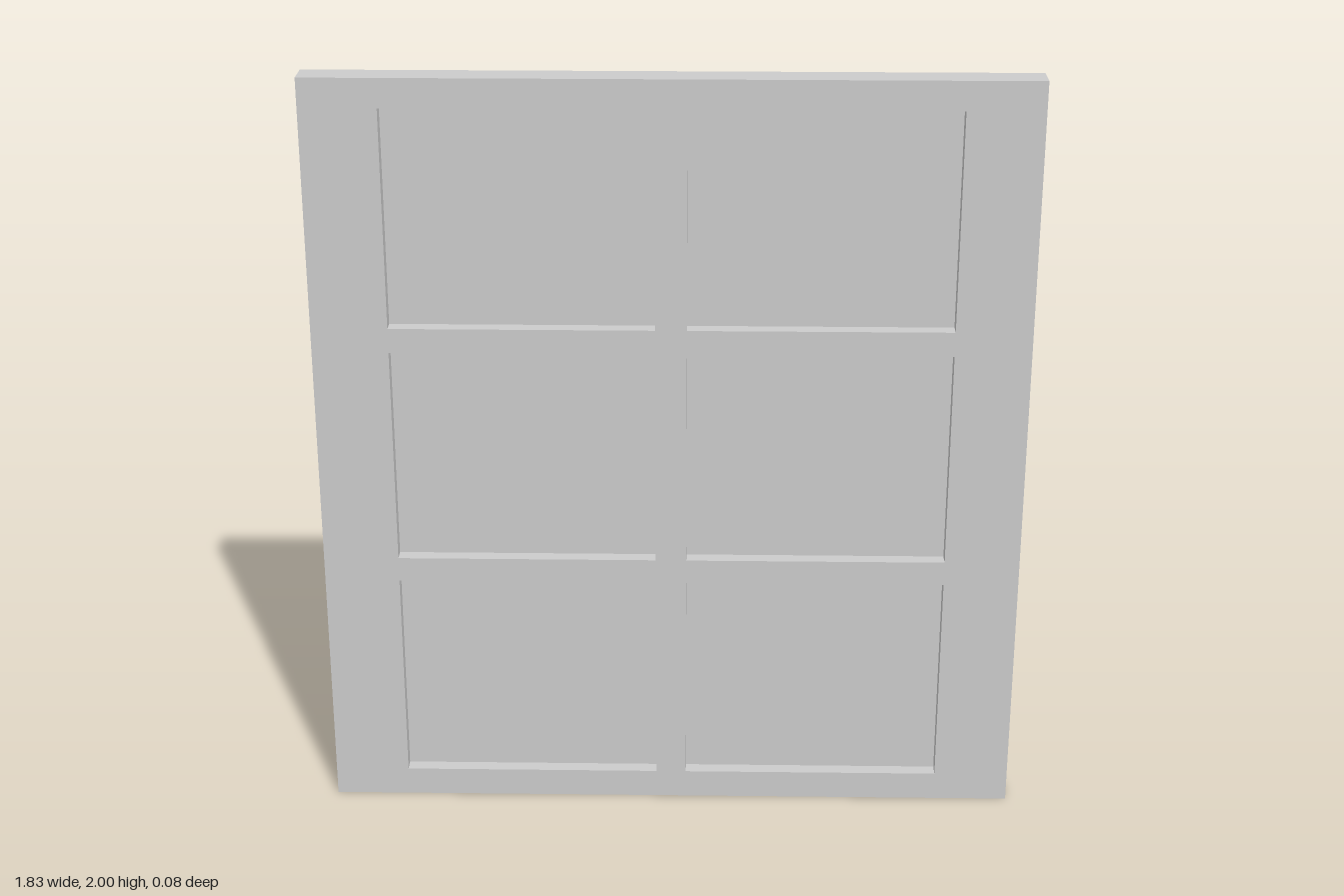
import * as THREE from 'three';

const W = 1.826, H = 2, DEPTH = 0.08;
const COLUMNS = [[-0.717, -0.04], [0.04, 0.717]];
const ROWS = [[0.076, 0.647], [0.712, 1.288], [1.353, 1.924]];

// Traces a rectangle on a shape or a hole path
function rect(path, x0, y0, x1, y1) {
  path.moveTo(x0, y0);
  path.lineTo(x1, y0);
  path.lineTo(x1, y1);
  path.lineTo(x0, y1);
  path.closePath();
  return path;
}

export function createModel() {
  const group = new THREE.Group();
  group.name = 'panelledWindow';
  const material = new THREE.MeshStandardMaterial({ color: 0xcccccc });

  // Frame with six openings, and a thin pane set mid-depth in each
  const outline = rect(new THREE.Shape(), -W / 2, 0, W / 2, H);
  const panes = new THREE.Group();
  panes.name = 'panes';
  for (const [y0, y1] of ROWS) {
    for (const [x0, x1] of COLUMNS) {
      outline.holes.push(rect(new THREE.Path(), x0, y0, x1, y1));
      const pane = new THREE.Mesh(new THREE.BoxGeometry(x1 - x0, y1 - y0, 0.004), material);
      pane.name = 'pane';
      pane.position.set((x0 + x1) / 2, (y0 + y1) / 2, 0);
      panes.add(pane);
    }
  }

  const frameGeometry = new THREE.ExtrudeGeometry(outline, { depth: DEPTH, bevelEnabled: false });
  frameGeometry.translate(0, 0, -DEPTH / 2);
  const frame = new THREE.Mesh(frameGeometry, material);
  frame.name = 'frame';

  group.add(frame, panes);
  return group;
}
